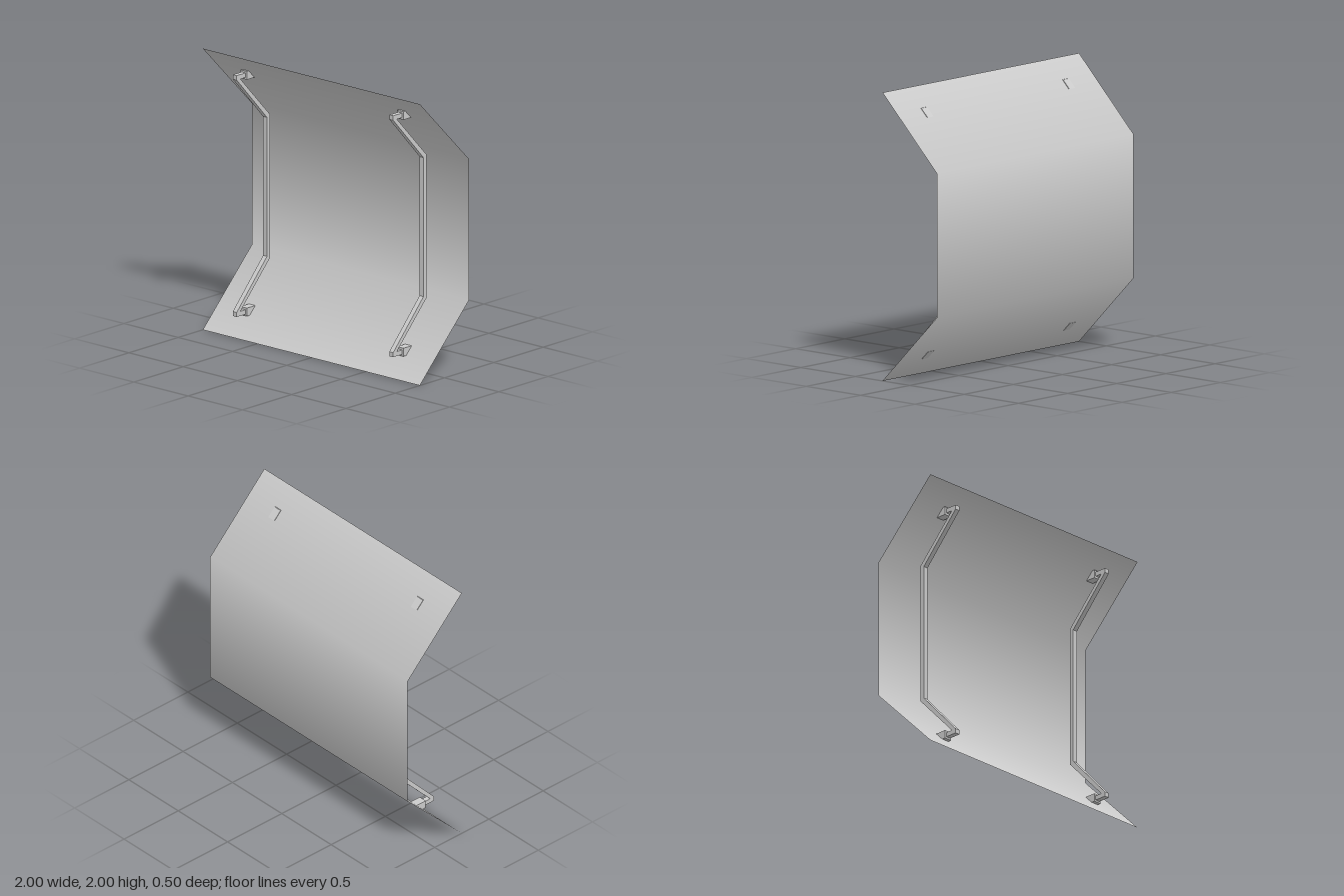
import * as THREE from 'three';

const MID = 1.004; // height about which rails and brackets mirror

// Extrude a (z, y) side profile to a given width, centred on x = 0
function extrudeSide(points, width, material) {
  const shape = new THREE.Shape(points.map(([z, y]) => new THREE.Vector2(-z, y)));
  const geometry = new THREE.ExtrudeGeometry(shape, { depth: width, bevelEnabled: false });
  geometry.translate(0, 0, -width / 2).rotateY(Math.PI / 2);
  return new THREE.Mesh(geometry, material);
}

const flip = ([z, y]) => [z, 2 * MID - y];

export function createModel() {
  const group = new THREE.Group();
  const material = new THREE.MeshStandardMaterial({ color: 0xcccccc });
  const sheetMaterial = new THREE.MeshStandardMaterial({ color: 0xcccccc, side: THREE.DoubleSide });

  // Thin sheet folded forward 45 degrees at top and bottom, shaded smoothly
  const rows = [[2, 0.25, -45], [1.5, -0.25, -22.5], [0.5, -0.25, 22.5], [0, 0.25, 45]];
  const sheet = new THREE.PlaneGeometry(2, 2, 1, 3);
  rows.forEach(([y, z, tilt], r) => {
    const a = THREE.MathUtils.degToRad(tilt);
    for (const i of [2 * r, 2 * r + 1]) {
      sheet.attributes.position.setY(i, y).setZ(i, z);
      sheet.attributes.normal.setXYZ(i, 0, Math.sin(a), Math.cos(a));
    }
  });
  const panel = new THREE.Mesh(sheet, sheetMaterial);
  panel.name = 'bentPanel';
  group.add(panel);

  // Upper half of the rail: front edge upwards, then back edge downwards
  const front = [[-0.074, 1.498], [0.233, 1.83], [0.233, 1.862]];
  const back = [[0.143, 1.862], [0.143, 1.83], [0.196, 1.83], [-0.106, 1.512]];
  const upper = [...front, ...back];
  const railProfile = [...upper, ...upper.map(flip).reverse()];

  // Bracket block with a slanted face just through the sheet
  const blockProfile = [[0.143, 1.816], [0.143, 1.874], [0.118, 1.874], [0.06, 1.816]];

  for (const [side, x] of [['left', 0.721], ['right', -0.721]]) {
    const rail = extrudeSide(railProfile, 0.036, material);
    rail.name = side + 'Rail';
    rail.position.x = x;
    group.add(rail);

    const top = extrudeSide(blockProfile, 0.06, material);
    top.name = side + 'UpperBracket';
    top.position.x = x;
    group.add(top);

    const lowerProfile = blockProfile.map(flip).map(([z, y], i) => [i > 1 ? 0.246 - y : z, y]);
    const bottom = extrudeSide(lowerProfile, 0.06, material);
    bottom.name = side + 'LowerBracket';
    bottom.position.x = x;
    group.add(bottom);
  }
  return group;
}
